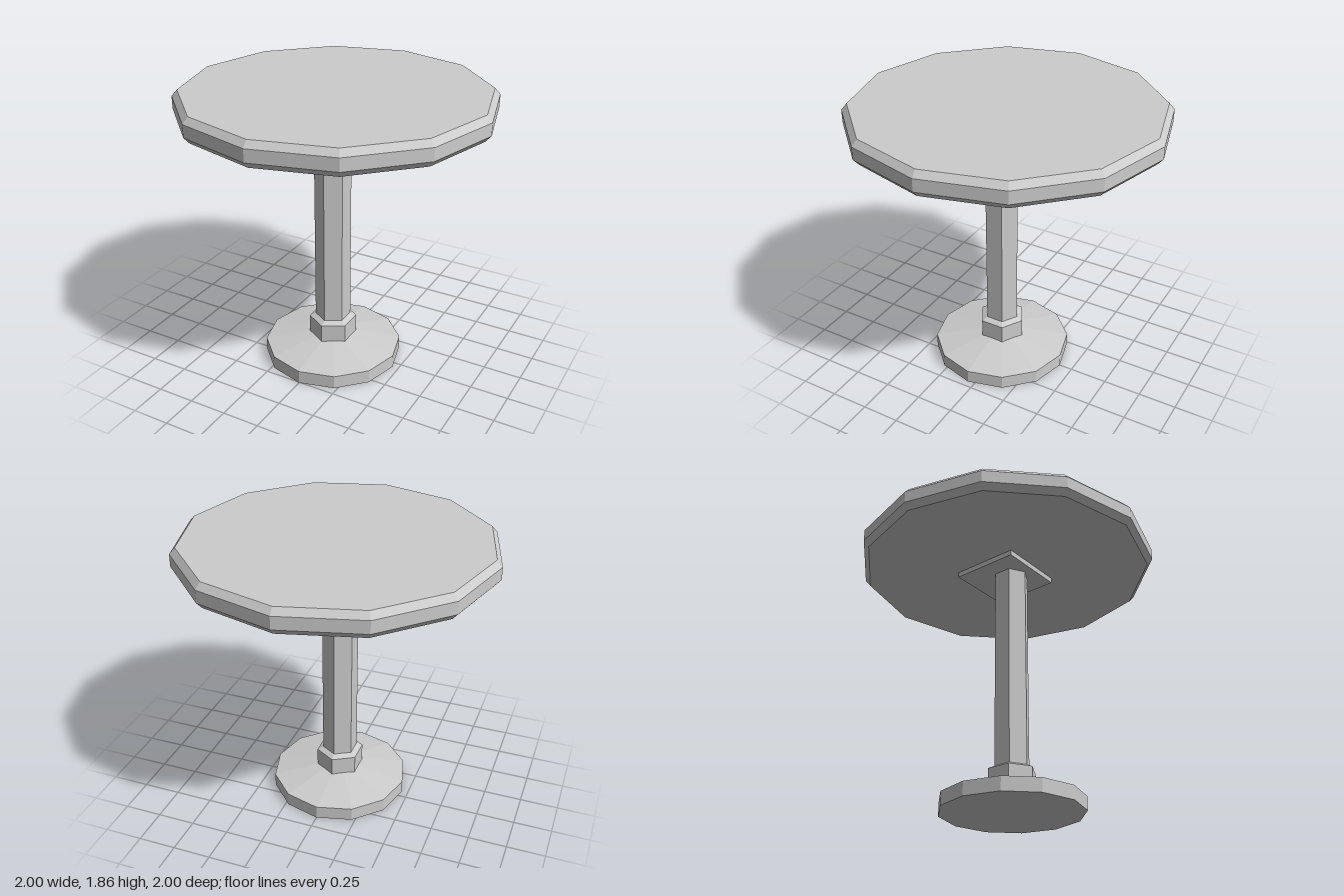
import * as THREE from 'three';

export function createModel() {
  const group = new THREE.Group();
  const grey = new THREE.MeshStandardMaterial({ name: 'plain grey', color: 0xcccccc });

  // Faceted turned part: profile runs from the bottom axis to the top axis.
  function turned(name, sides, z, profile) {
    const points = profile.map(([r, y]) => new THREE.Vector2(r, y));
    const geometry = new THREE.LatheGeometry(points, sides).toNonIndexed();
    geometry.computeVertexNormals();
    const mesh = new THREE.Mesh(geometry, grey);
    mesh.name = name;
    mesh.position.z = z;
    group.add(mesh);
  }

  const stemZ = 0.0475; // the pedestal sits slightly forward of the top's centre

  // Twelve-sided top with chamfered rims
  turned('tableTop', 12, 0, [[0, 1.7], [0.965, 1.7], [1, 1.74], [1, 1.82], [0.965, 1.86], [0, 1.86]]);

  // Square mounting plate under the top
  const plate = new THREE.Mesh(new THREE.BoxGeometry(0.456, 0.04, 0.456), grey);
  plate.name = 'mountingPlate';
  plate.position.set(0, 1.685, -0.006);
  group.add(plate);

  // Hexagonal pole
  turned('pole', 6, stemZ, [[0, 0.28], [0.117, 0.28], [0.117, 1.67], [0, 1.67]]);

  // Hexagonal collar with a bevelled shoulder
  turned('collar', 6, stemZ, [[0, 0.14], [0.158, 0.14], [0.158, 0.27], [0.117, 0.29], [0, 0.29]]);

  // Twelve-sided foot sloping up to the collar
  turned('foot', 12, stemZ, [[0, 0], [0.458, 0], [0.458, 0.09], [0.137, 0.15], [0, 0.15]]);

  return group;
}
